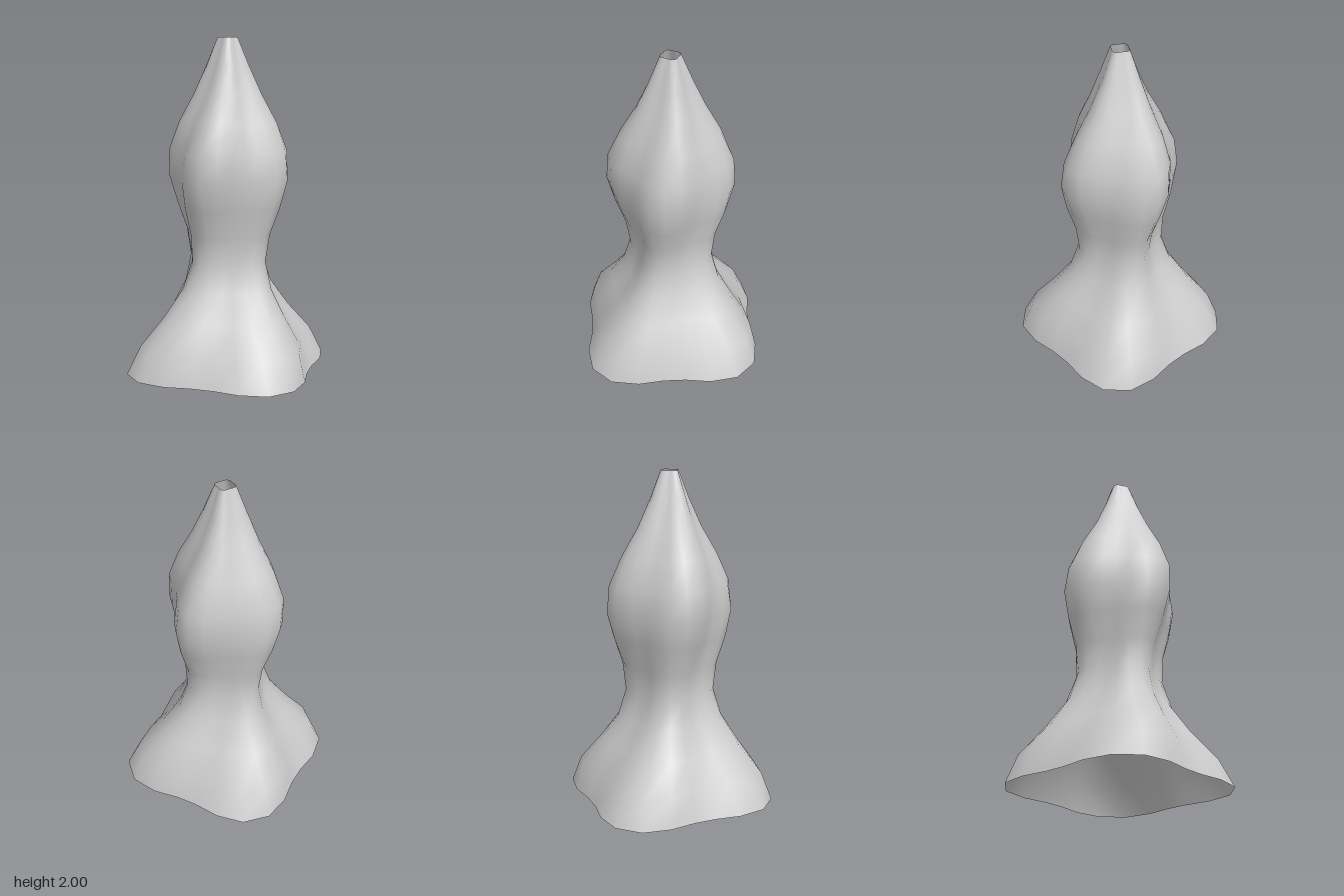
import * as THREE from 'three';

// Mean radius of each ring, from the open foot to the open tip
const RADII = [0.587, 0.52, 0.393, 0.288, 0.24, 0.257, 0.308, 0.345, 0.333, 0.268, 0.183, 0.115, 0.054];
const SIDES = 24;
const HEIGHT = 2;
const TWIST = Math.PI / 3;
const LOBE = 0.12;

// Four-lobed cross-sections that twist steadily with height
function twistedShell() {
  const positions = [];
  const indices = [];
  const rows = RADII.length - 1;
  RADII.forEach((radius, row) => {
    const t = row / rows;
    const peak = Math.PI / 8 - TWIST * t;
    for (let i = 0; i < SIDES; i++) {
      const angle = (i / SIDES) * Math.PI * 2;
      const r = radius * (1 + LOBE * Math.cos(4 * (angle - peak)));
      positions.push(r * Math.cos(angle), HEIGHT * t, r * Math.sin(angle));
    }
  });
  for (let row = 0; row < rows; row++) {
    for (let i = 0; i < SIDES; i++) {
      const next = (i + 1) % SIDES;
      const a = row * SIDES + i;
      const b = row * SIDES + next;
      const c = a + SIDES;
      const d = b + SIDES;
      indices.push(a, c, b, b, c, d);
    }
  }
  const geometry = new THREE.BufferGeometry();
  geometry.setAttribute('position', new THREE.Float32BufferAttribute(positions, 3));
  geometry.setIndex(indices);
  geometry.computeVertexNormals();
  return geometry;
}

export function createModel() {
  const group = new THREE.Group();
  group.name = 'twistedVase';

  const grey = new THREE.MeshStandardMaterial({ color: 0xcccccc, side: THREE.DoubleSide });
  grey.name = 'light grey';

  // Thin open shell, seen from inside and outside
  const shell = new THREE.Mesh(twistedShell(), grey);
  shell.name = 'shell';
  group.add(shell);
  return group;
}
